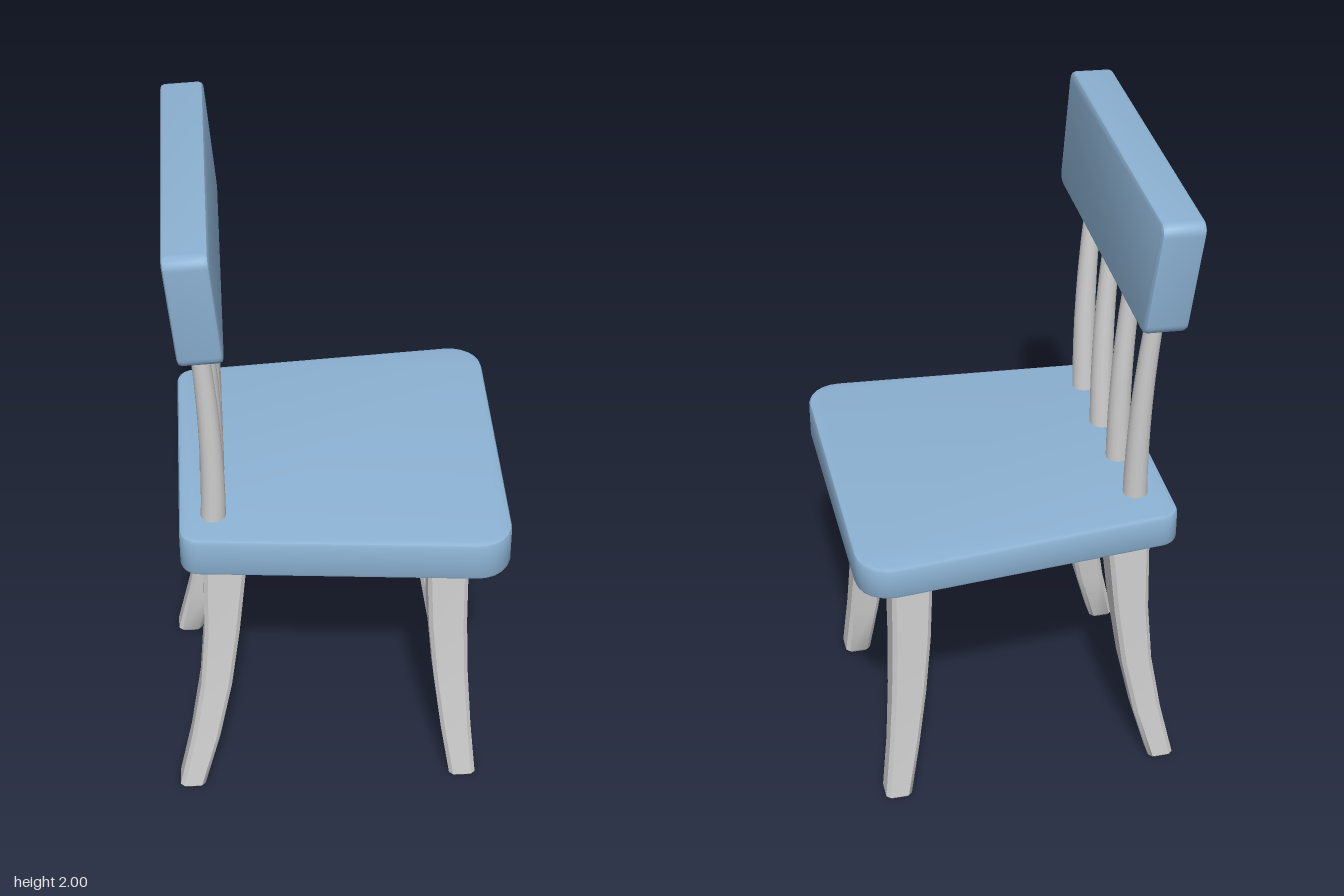
import * as THREE from 'three';
import { toCreasedNormals } from 'three/addons/utils/BufferGeometryUtils.js';

const CREASE = 0.7;

// Closed skin over equal-length rings stacked upwards, with fan caps.
function loft(rings) {
  const n = rings[0].length;
  const pos = rings.flat(2);
  const index = [];
  for (let r = 0; r < rings.length - 1; r++) {
    for (let i = 0; i < n; i++) {
      const a = r * n + i, b = r * n + (i + 1) % n;
      index.push(a, a + n, b, b, a + n, b + n);
    }
  }
  const top = (rings.length - 1) * n;
  for (let i = 1; i < n - 1; i++) {
    index.push(0, i, i + 1, top, top + i + 1, top + i);
  }
  const g = new THREE.BufferGeometry();
  g.setAttribute('position', new THREE.Float32BufferAttribute(pos, 3));
  g.setIndex(index);
  return toCreasedNormals(g, CREASE);
}

// Rectangle with chamfered corners at height y, running from +x towards +z.
function chamferRing(y, x0, x1, z0, z1, c) {
  return [
    [x1, y, z0 + c], [x1, y, z1 - c], [x1 - c, y, z1], [x0 + c, y, z1],
    [x0, y, z1 - c], [x0, y, z0 + c], [x0 + c, y, z0], [x1 - c, y, z0],
  ];
}

// Polygon with rounded corners; each point is [x, y, radius].
function roundedShape(points) {
  const s = new THREE.Shape();
  points.forEach(([x, y, r], i) => {
    const p = new THREE.Vector2(x, y);
    const toward = (q) => new THREE.Vector2(q[0], q[1]).sub(p).setLength(r).add(p);
    const a = toward(points.at(i - 1));
    const b = toward(points[(i + 1) % points.length]);
    if (i === 0) s.moveTo(a.x, a.y); else s.lineTo(a.x, a.y);
    const k = 0.552; // circular corner
    s.bezierCurveTo(a.x + (x - a.x) * k, a.y + (y - a.y) * k,
      b.x + (x - b.x) * k, b.y + (y - b.y) * k, b.x, b.y);
  });
  s.closePath();
  return s;
}

// Bevelled slab of full thickness t, from z = 0 to z = t.
function slab(points, t, bevel) {
  return new THREE.ExtrudeGeometry(roundedShape(points), {
    depth: t - 2 * bevel, bevelThickness: bevel, bevelSize: bevel,
    bevelOffset: -bevel, bevelSegments: 2, curveSegments: 6,
  }).translate(0, 0, bevel);
}

function moveVertices(g, rule) {
  const p = g.attributes.position, v = new THREE.Vector3();
  for (let i = 0; i < p.count; i++) {
    rule(v.fromBufferAttribute(p, i));
    p.setXYZ(i, v.x, v.y, v.z);
  }
  return toCreasedNormals(g, CREASE);
}

export function createModel() {
  const group = new THREE.Group();
  const blue = new THREE.MeshStandardMaterial({ name: 'blue paint', color: 0x8cb2d3 });
  const grey = new THREE.MeshStandardMaterial({ name: 'light grey paint', color: 0xcfcfcf });
  const add = (name, geometry, material) => {
    const m = new THREE.Mesh(geometry, material);
    m.name = name;
    group.add(m);
  };

  // Seat: wider at the front (+x), underside slightly sloped sideways
  const seat = slab([
    [-0.465, -0.42, 0.05], [0.497, -0.5, 0.11], [0.497, 0.505, 0.11], [-0.465, 0.425, 0.05],
  ], 0.13, 0.013).rotateX(-Math.PI / 2);
  add('seat', moveVertices(seat, (v) => {
    const thickness = 0.13 - 0.025 * (0.49 - v.z) / 0.98;
    v.y = 1 - (0.13 - v.y) * thickness / 0.13;
  }), blue);

  // Backrest: trapezoid board leaning backwards
  const back = slab([
    [-0.455, 1.64, 0.035], [0.473, 1.64, 0.035], [0.496, 2, 0.035], [-0.488, 1.995, 0.035],
  ], 0.125, 0.013).rotateY(-Math.PI / 2);
  add('backrest', moveVertices(back, (v) => {
    const lean = 0.09 * (v.y - 1.64);
    const depth = v.x;
    v.x += -0.317 - lean;
    v.y += 0.05 * (depth + 0.06);
  }), blue);

  // Legs: splayed, tapering to the foot; edges listed from the floor up
  const heights = [0.012, 0.2, 0.4, 0.6, 0.9];
  const xEdges = {
    back: [[-0.5, -0.422], [-0.457, -0.37], [-0.422, -0.328], [-0.405, -0.3], [-0.398, -0.268]],
    front: [[0.342, 0.423], [0.312, 0.405], [0.286, 0.391], [0.268, 0.383], [0.255, 0.38]],
  };
  const zEdges = {
    Left: [[0.347, 0.43], [0.325, 0.411], [0.293, 0.394], [0.267, 0.381], [0.248, 0.371]],
    Right: [[-0.375, -0.295], [-0.363, -0.285], [-0.356, -0.262], [-0.352, -0.241], [-0.35, -0.223]],
  };
  for (const [end, xs] of Object.entries(xEdges)) {
    for (const [side, zs] of Object.entries(zEdges)) {
      const rings = heights.map((y, i) => chamferRing(y, ...xs[i], ...zs[i], 0.012));
      const i = 0.01; // small bevel under the foot
      rings.unshift(chamferRing(0, xs[0][0] + i, xs[0][1] - i, zs[0][0] + i, zs[0][1] - i, 0.008));
      add(`${end}Leg${side}`, loft(rings), grey);
    }
  }

  // Spindles: slim curved rods between seat and backrest
  const sides = 14;
  [[0.303, 0.33], [0.093, 0.118], [-0.093, -0.108], [-0.282, -0.331]].forEach(([z0, z1], n) => {
    const rings = [];
    for (let k = 0; k <= 8; k++) {
      const t = k / 8, r = 0.037 - 0.012 * t;
      const x = -0.365 + 0.022 * t - 0.05 * t * t;
      const z = z0 + (z1 - z0) * t;
      rings.push(Array.from({ length: sides }, (_, i) => {
        const a = i / sides * Math.PI * 2;
        return [x + r * Math.cos(a), 0.98 + 0.7 * t, z + r * Math.sin(a)];
      }));
    }
    add(`spindle${n + 1}`, loft(rings), grey);
  });

  return group;
}
